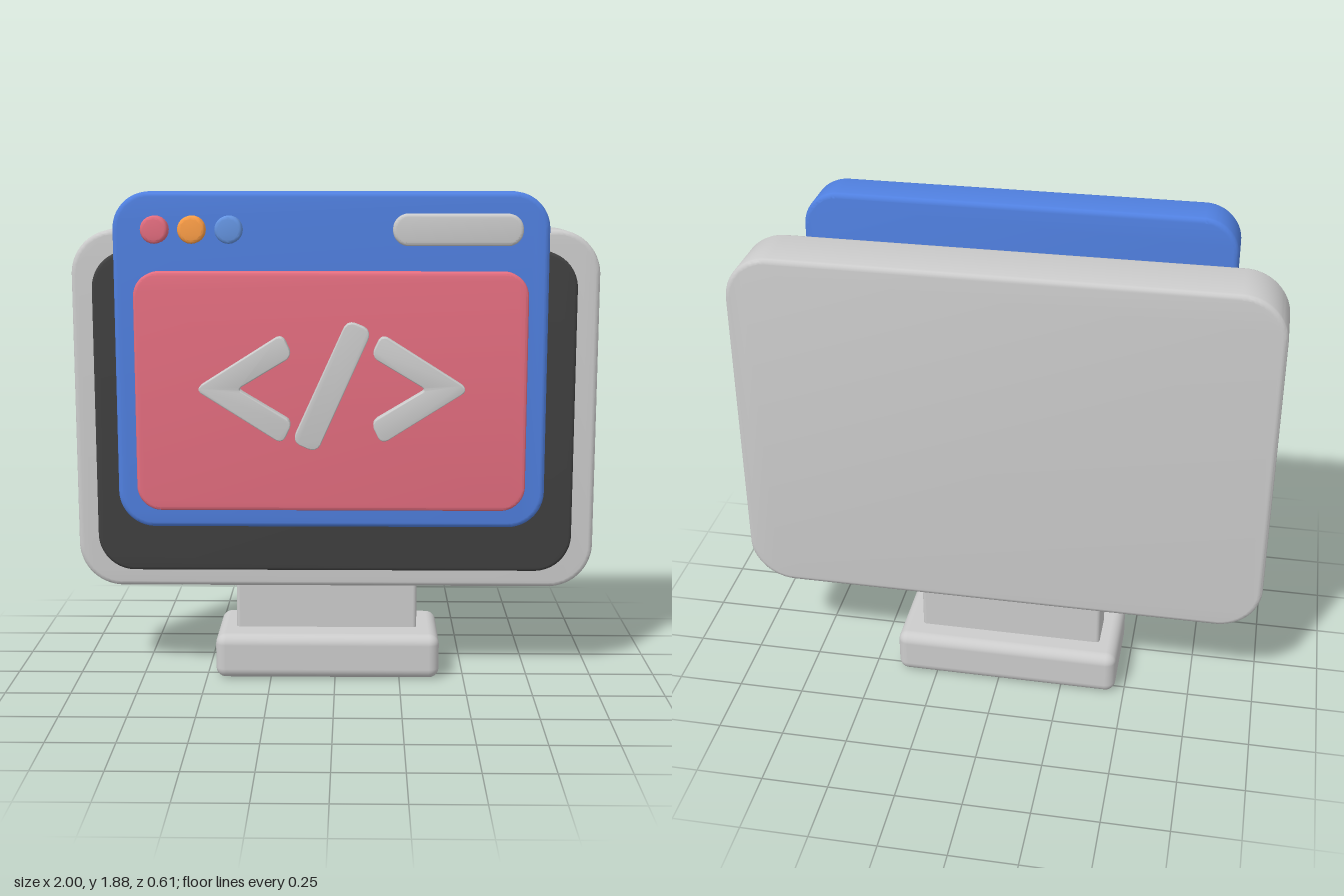
import * as THREE from 'three';
import { toCreasedNormals } from 'three/addons/utils/BufferGeometryUtils.js';
import { RoundedBoxGeometry } from 'three/addons/geometries/RoundedBoxGeometry.js';

const GREY = 0xcccccc, DARK = 0x404040, BLUE = 0x5080e0, RED = 0xe56e80, ORANGE = 0xffa048, SKY = 0x6595e2;

export function createModel() {
  const model = new THREE.Group();

  const add = (name, geometry, color) => {
    const mesh = new THREE.Mesh(geometry, new THREE.MeshStandardMaterial({ color }));
    mesh.name = name;
    model.add(mesh);
    return mesh;
  };

  // Rounded rectangle outline, pulled in by the bevel width
  const roundedRect = (x0, x1, y0, y1, r, inset) => {
    x0 += inset; x1 -= inset; y0 += inset; y1 -= inset;
    r = Math.max(r - inset, 0.005);
    const s = new THREE.Shape();
    s.absarc(x1 - r, y0 + r, r, -Math.PI / 2, 0);
    s.absarc(x1 - r, y1 - r, r, 0, Math.PI / 2);
    s.absarc(x0 + r, y1 - r, r, Math.PI / 2, Math.PI);
    s.absarc(x0 + r, y0 + r, r, Math.PI, Math.PI * 1.5);
    s.closePath();
    return s;
  };

  // Polygon outline with softened corners
  const roundedPolygon = (points, r) => {
    const p = points.map(([x, y]) => new THREE.Vector2(x, y));
    const s = new THREE.Shape();
    p.forEach((c, i) => {
      const toward = (q) => c.clone().add(q.clone().sub(c).setLength(r));
      const a = toward(p[(i + p.length - 1) % p.length]);
      const b = toward(p[(i + 1) % p.length]);
      if (i === 0) s.moveTo(a.x, a.y); else s.lineTo(a.x, a.y);
      s.quadraticCurveTo(c.x, c.y, b.x, b.y);
    });
    s.closePath();
    return s;
  };

  // Bevelled extrusion between two depths
  const extrude = (shape, z0, z1, bevel) => {
    const g = new THREE.ExtrudeGeometry(shape, {
      depth: z1 - z0 - 2 * bevel, bevelEnabled: true, bevelThickness: bevel,
      bevelSize: bevel, bevelSegments: 3, curveSegments: 12,
    });
    g.translate(0, 0, z0 + bevel);
    return toCreasedNormals(g, 0.6);
  };

  const slab = (name, color, [x0, x1], [y0, y1], [z0, z1], r, bevel) =>
    add(name, extrude(roundedRect(x0, x1, y0, y1, r, bevel), z0, z1, bevel), color);

  const block = (name, [x0, x1], [y0, y1], [z0, z1], r) =>
    add(name, new RoundedBoxGeometry(x1 - x0, y1 - y0, z1 - z0, 4, r), GREY)
      .position.set((x0 + x1) / 2, (y0 + y1) / 2, (z0 + z1) / 2);

  // Stand
  block('base', [-0.465, 0.405], [0, 0.175], [-0.305, 0.08], 0.04);
  block('neck', [-0.39, 0.32], [0.12, 0.4], [-0.21, -0.045], 0.015);

  // Monitor and floating window
  slab('monitorBody', GREY, [-1, 1], [0.35, 1.735], [-0.25, -0.01], 0.17, 0.018);
  slab('screen', DARK, [-0.91, 0.905], [0.435, 1.66], [-0.04, 0.07], 0.14, 0.012);
  slab('window', BLUE, [-0.805, 0.78], [0.64, 1.88], [0.045, 0.212], 0.135, 0.018);
  slab('windowContent', RED, [-0.728, 0.703], [0.715, 1.595], [0.18, 0.262], 0.09, 0.012);
  slab('addressBar', GREY, [0.212, 0.68], [1.687, 1.802], [0.18, 0.252], 0.055, 0.012);

  // Title bar buttons
  [RED, ORANGE, SKY].forEach((color, i) => {
    const circle = new THREE.Shape().absarc(-0.648 + i * 0.134, 1.745, 0.038, 0, Math.PI * 2);
    add('windowButton' + (i + 1), extrude(circle, 0.18, 0.262, 0.012), color);
  });

  // Code symbol: two chevrons and a slash
  const bevel = 0.004, mid = 1.174, axis = -0.008;
  const arm = [[0.182, 0.195], [0.147, 0.122]];
  for (const side of [-1, 1]) {
    const at = (x, y) => [axis + side * x, mid + y];
    const points = [
      at(0.49, 0), at(...arm[0]), at(...arm[1]), at(0.35, 0),
      at(arm[1][0], -arm[1][1]), at(arm[0][0], -arm[0][1]),
    ];
    if (side < 0) points.reverse();
    add(side < 0 ? 'rightChevron' : 'leftChevron',
      extrude(roundedPolygon(points, 0.028), 0.24, 0.308, bevel), GREY);
  }
  const slash = [[0.05, 1.42], [-0.148, 0.984], [-0.064, 0.947], [0.132, 1.385]];
  add('slash', extrude(roundedPolygon(slash, 0.034), 0.24, 0.308, bevel), GREY);

  return model;
}
